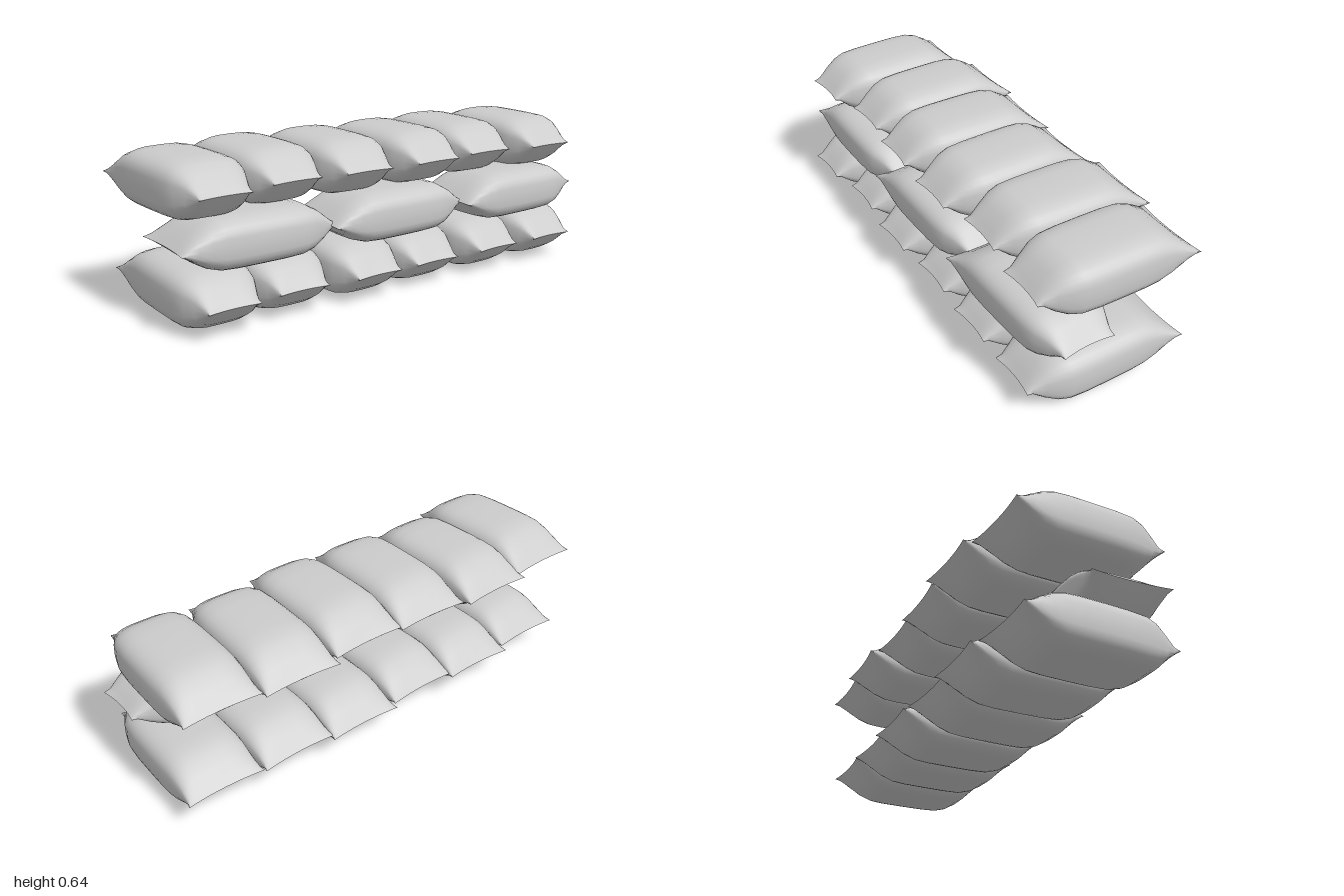
import * as THREE from 'three';

// Bag stations from the narrow tied end (+z) to the wide sewn end (-z):
// [z, half width, half height]
const STATIONS = [
  [0.33, 0.108, 0], [0.305, 0.108, 0.024], [0.26, 0.128, 0.07], [0.215, 0.15, 0.097],
  [0.17, 0.162, 0.11], [0.1, 0.167, 0.113], [0, 0.168, 0.114], [-0.1, 0.168, 0.114],
  [-0.16, 0.166, 0.11], [-0.21, 0.163, 0.092], [-0.26, 0.16, 0.058],
  [-0.3, 0.16, 0.022], [-0.325, 0.166, 0],
];
const SIDES = 32;

// Lofted pillow with rounded-box cross-sections pinched flat at both ends
function bagGeometry() {
  const pos = [], index = [];
  const squash = (v) => Math.sign(v) * Math.pow(Math.abs(v), 0.62);
  STATIONS.forEach(([z, w, h]) => {
    const pinch = 1 - h / 0.114;
    for (let i = 0; i < SIDES; i++) {
      const a = (i / SIDES) * Math.PI * 2;
      const u = squash(Math.cos(a));
      // Seam corners flick outwards a little
      const flick = Math.sign(z) * 0.012 * pinch * (u * u - 0.5);
      pos.push(u * w, squash(Math.sin(a)) * h, z + flick);
    }
  });
  for (let s = 0; s < STATIONS.length - 1; s++) {
    for (let i = 0; i < SIDES; i++) {
      const j = (i + 1) % SIDES;
      const a = s * SIDES + i, b = s * SIDES + j;
      const c = a + SIDES, d = b + SIDES;
      index.push(a, c, b, b, c, d);
    }
  }
  const g = new THREE.BufferGeometry();
  g.setAttribute('position', new THREE.Float32BufferAttribute(pos, 3));
  g.setIndex(index);
  g.computeVertexNormals();
  return g;
}

export function createModel() {
  const model = new THREE.Group();
  model.name = 'sandbagWall';
  const cloth = new THREE.MeshStandardMaterial({ color: 0xcccccc, side: THREE.DoubleSide });
  cloth.name = 'lightGreyCloth';
  const geometry = bagGeometry();

  function addBag(parent, name, x, y, z, turn = 0, tilt = 0) {
    const bag = new THREE.Mesh(geometry, cloth);
    bag.name = name;
    bag.position.set(x, y, z);
    bag.rotation.set(tilt, turn, 0);
    parent.add(bag);
    return bag;
  }
  function addRow(name) {
    const row = new THREE.Group();
    row.name = name;
    model.add(row);
    return row;
  }

  // Bottom and top rows: six bags side by side, each [y, z, turn]
  const bottom = [
    [0.128, 0.035, 0.01], [0.124, 0.005, -0.02], [0.125, 0.03, 0.02],
    [0.117, 0.01, -0.01], [0.122, 0.03, 0.01], [0.125, 0.04, -0.02],
  ];
  const top = [
    [0.525, 0.003, 0.03], [0.527, -0.04, 0.02], [0.528, -0.012, -0.02],
    [0.53, 0.005, 0.01], [0.528, -0.025, -0.03], [0.526, 0.012, -0.02],
  ];
  const bottomRow = addRow('bottomRow'), topRow = addRow('topRow');
  bottom.forEach(([y, z, turn], i) =>
    addBag(bottomRow, `bottomBag${i + 1}`, -0.815 + i * 0.324, y, z, turn, 0.025));
  top.forEach(([y, z, turn], i) =>
    addBag(topRow, `topBag${i + 1}`, -0.825 + i * 0.326, y, z, turn));

  // Middle row: three bags laid end to end, tied ends towards +x
  const middleRow = addRow('middleRow');
  [[-0.64, 0.15], [0, 0.165], [0.648, 0.185]].forEach(([x, z], i) => {
    const bag = addBag(middleRow, `middleBag${i + 1}`, x, 0.325, z, Math.PI / 2 + (i - 1) * 0.015);
    bag.scale.set(1.02, 0.91, 1.035);
  });
  return model;
}
